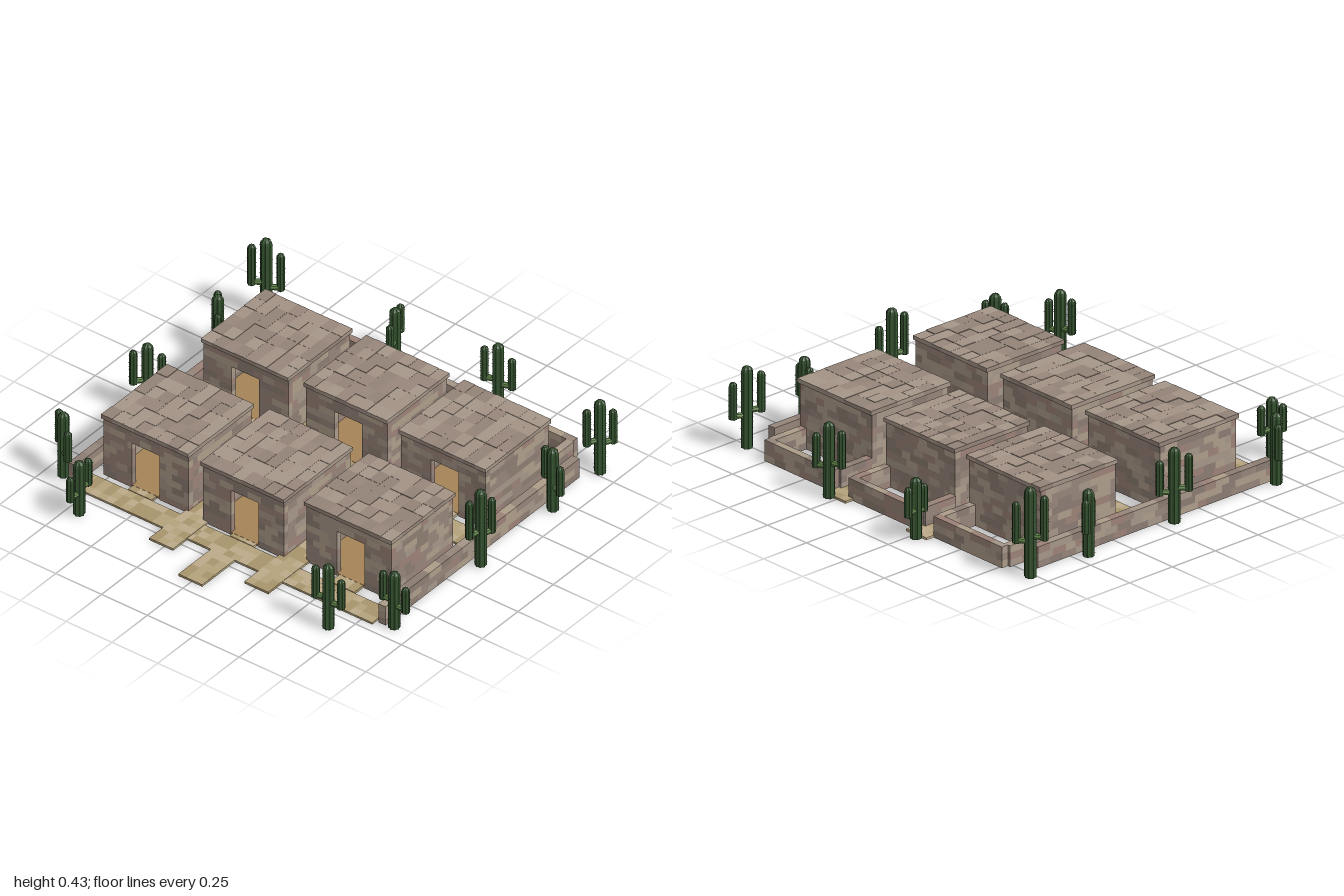
import * as THREE from 'three';
import { mergeGeometries } from 'three/addons/utils/BufferGeometryUtils.js';

const STONE = [0x95857a, 0xa59588, 0x9b8178, 0x8b7c72, 0xad9d8a];
const SLAB = [0x98877c, 0xa39286, 0x938378, 0xa6988a];
const PAVING = [0xb3a27c, 0xa8946c, 0xbcab8a];
const TAN = 0xa68457, GREEN = 0x35522f, LIGHT_GREEN = 0x5f8248;

let seed = 7;
const rand = () => (seed = (seed * 16807) % 2147483647) / 2147483647;

const box = (x0, x1, y0, y1, z0, z1) =>
  new THREE.BoxGeometry(x1 - x0, y1 - y0, z1 - z0)
    .translate((x0 + x1) / 2, (y0 + y1) / 2, (z0 + z1) / 2);

const mesh = (name, geometry, color) => {
  const m = new THREE.Mesh(geometry,
    new THREE.MeshStandardMaterial({ color, flatShading: true }));
  m.name = name;
  return m;
};

// Sort pieces at random into one merged mesh per palette shade
function mottled(name, pieces, palette) {
  const group = new THREE.Group();
  group.name = name;
  const buckets = palette.map(() => []);
  pieces.forEach((p) => buckets[Math.floor(rand() * palette.length)].push(p));
  buckets.forEach((b, i) => {
    if (b.length) group.add(mesh(`${name}Shade${i + 1}`, mergeGeometries(b), palette[i]));
  });
  return group;
}

// Courses of staggered bricks along the longer side; door = [from, to, height]
function bricks(x0, x1, z0, z1, height, courses, door) {
  const out = [], alongX = x1 - x0 > z1 - z0;
  const a = alongX ? x0 : z0, b = alongX ? x1 : z1, h = height / courses;
  for (let r = 0; r < courses; r++) {
    const y = r * h;
    const spans = door && y + h / 2 < door[2] ? [[a, door[0]], [door[1], b]] : [[a, b]];
    for (const [s, e] of spans) {
      let p = s, len = r % 2 ? 0.035 : 0.07;
      while (p < e - 1e-4) {
        const q = e - p - len < 0.02 ? e : p + len;
        out.push(alongX ? box(p, q, y, y + h, z0, z1) : box(x0, x1, y, y + h, p, q));
        p = q;
        len = 0.05 + rand() * 0.04;
      }
    }
  }
  return out;
}

// Grid of flat tiles with an optional uneven top
function tiles(x0, x1, z0, z1, y0, y1, nx, nz, uneven = 0) {
  const out = [], dx = (x1 - x0) / nx, dz = (z1 - z0) / nz;
  for (let i = 0; i < nx; i++) for (let j = 0; j < nz; j++) {
    out.push(box(x0 + i * dx, x0 + (i + 1) * dx, y0, y1 - rand() * uneven,
      z0 + j * dz, z0 + (j + 1) * dz));
  }
  return out;
}

// Square hut with open doorway, floor and slab roof
function hut(x0, x1, z0, z1, doorX) {
  const g = new THREE.Group();
  g.name = 'hut';
  const t = 0.03, h = 0.304;
  const a = x0 + 0.006, b = x1 - 0.006, c = z0 + 0.01, d = z1 - 0.01;
  g.add(mottled('hutWalls', [
    ...bricks(a, b, d - t, d, h, 9, [doorX - 0.075, doorX + 0.075, 0.236]),
    ...bricks(a, b, c, c + t, h, 9),
    ...bricks(a, a + t, c + t, d - t, h, 9),
    ...bricks(b - t, b, c + t, d - t, h, 9),
  ], STONE));
  g.add(mesh('hutFloor', box(a + 0.01, b - 0.01, 0.002, 0.012, c + 0.01, d - 0.002), TAN));
  g.add(mottled('roofSlabs', tiles(x0, x1, z0, z1, h, 0.326, 8, 6, 0.004), SLAB));
  return g;
}

// Eight-ribbed column with a domed top
function ribbed(r, h) {
  const profile = [[0.001, 0], [r, 0.004], [r, h - r], [r * 0.87, h - r * 0.5],
    [r * 0.5, h - r * 0.13], [0.001, h]].map(([x, y]) => new THREE.Vector2(x, y));
  const geo = new THREE.LatheGeometry(profile, 16);
  const p = geo.attributes.position;
  for (let i = 0; i < p.count; i++) {
    if (Math.floor(i / profile.length) % 2) {
      p.setX(i, p.getX(i) * 0.82);
      p.setZ(i, p.getZ(i) * 0.82);
    }
  }
  return geo;
}

// Small thorns along the ribs
function thorns(r, h) {
  const out = [];
  for (let y = 0.02; y < h - r; y += 0.025) for (let k = 0; k < 8; k++) {
    out.push(new THREE.ConeGeometry(0.0018, 0.007, 3, 1, true).rotateZ(-Math.PI / 2)
      .translate(r + 0.001, y, 0).rotateY(k * Math.PI / 4));
  }
  return out;
}

function cactus(x, z, height, angle) {
  const g = new THREE.Group();
  g.name = 'cactus';
  const parts = [ribbed(0.027, height)], spines = thorns(0.027, height), elbows = [];
  for (const [side, low, top] of [[1, 0.36, 0.82], [-1, 0.42, 0.92]]) {
    const y = height * low, h = height * (top - low);
    const place = (q) => q.translate(side * 0.063, y, 0);
    parts.push(place(ribbed(0.019, h)));
    spines.push(...thorns(0.019, h).map(place));
    elbows.push(new THREE.CylinderGeometry(0.014, 0.014, 0.06, 8).rotateZ(Math.PI / 2)
      .translate(side * 0.035, y + 0.017, 0));
  }
  g.add(mesh('cactusColumns', mergeGeometries(parts), GREEN));
  g.add(mesh('cactusThorns', mergeGeometries(spines), GREEN));
  g.add(mesh('cactusElbows', mergeGeometries(elbows), LIGHT_GREEN));
  g.position.set(x, 0, z);
  g.rotation.y = -angle;
  return g;
}

export function createModel() {
  seed = 7;
  const model = new THREE.Group();
  model.name = 'desertVillage';

  // Two rows of three huts
  for (const [x0, x1, z0, z1, door] of [
    [-0.785, -0.31, -0.6, -0.145, -0.55], [-0.235, 0.22, -0.6, -0.158, 0],
    [0.3, 0.775, -0.6, -0.135, 0.545], [-0.785, -0.31, 0.095, 0.56, -0.55],
    [-0.235, 0.22, 0.083, 0.572, 0], [0.3, 0.775, 0.075, 0.53, 0.545],
  ]) model.add(hut(x0, x1, z0, z1, door));

  // Paved cross paths, entrance and doorsteps
  model.add(mottled('paths', [
    ...tiles(-0.825, 0.81, 0.585, 0.71, 0, 0.01, 38, 3),
    ...tiles(-0.825, 0.81, -0.105, 0.025, 0, 0.01, 38, 3),
    ...tiles(-0.33, -0.2, -0.85, 0.81, 0.001, 0.012, 3, 38),
    ...tiles(0.19, 0.32, -0.85, 0.81, 0.001, 0.012, 3, 38),
    ...tiles(-0.07, 0.06, 0.71, 0.94, 0, 0.011, 3, 5),
  ], PAVING));
  const steps = [];
  for (const [x, back, front] of [[-0.555, -0.155, 0.55], [0, -0.168, 0.562], [0.55, -0.145, 0.52]]) {
    steps.push(...tiles(x - 0.065, x + 0.065, back, -0.105, 0, 0.013, 3, 1),
      ...tiles(x - 0.065, x + 0.065, front, 0.585, 0, 0.013, 3, 1));
  }
  model.add(mottled('doorsteps', steps, PAVING));

  // Low side walls and the back yard walls with gaps for the paths
  const low = [...bricks(-0.87, -0.83, -0.69, 0.68, 0.1, 3),
    ...bricks(0.82, 0.86, -0.69, 0.68, 0.1, 3)];
  for (const [a, b] of [[-0.78, -0.32], [-0.235, 0.225], [0.305, 0.765]]) {
    low.push(...bricks(a, a + 0.038, -0.77, -0.59, 0.1, 3),
      ...bricks(b - 0.038, b, -0.77, -0.59, 0.1, 3),
      ...bricks(a + 0.015, b - 0.005, -0.805, -0.77, 0.1, 3));
  }
  model.add(mottled('lowWalls', low, STONE));

  // Cacti around the edge: x, z, height, arm direction
  for (const [x, z, h, a] of [
    [-0.92, -0.78, 0.43, -0.59], [-0.925, -0.445, 0.32, 0.91], [-0.915, 0.065, 0.36, -0.85],
    [-0.91, 0.665, 0.34, 0.6], [-0.685, 0.845, 0.285, 1.57], [-0.285, -0.87, 0.29, 1.28],
    [0.285, -0.86, 0.36, -0.31], [0.91, -0.77, 0.39, -1.11], [0.915, -0.43, 0.33, 0.39],
    [0.915, 0.08, 0.405, -1.36], [0.9, 0.67, 0.3, 0.04], [0.675, 0.845, 0.34, -0.16],
  ]) model.add(cactus(x, z, h, a));

  return model;
}
